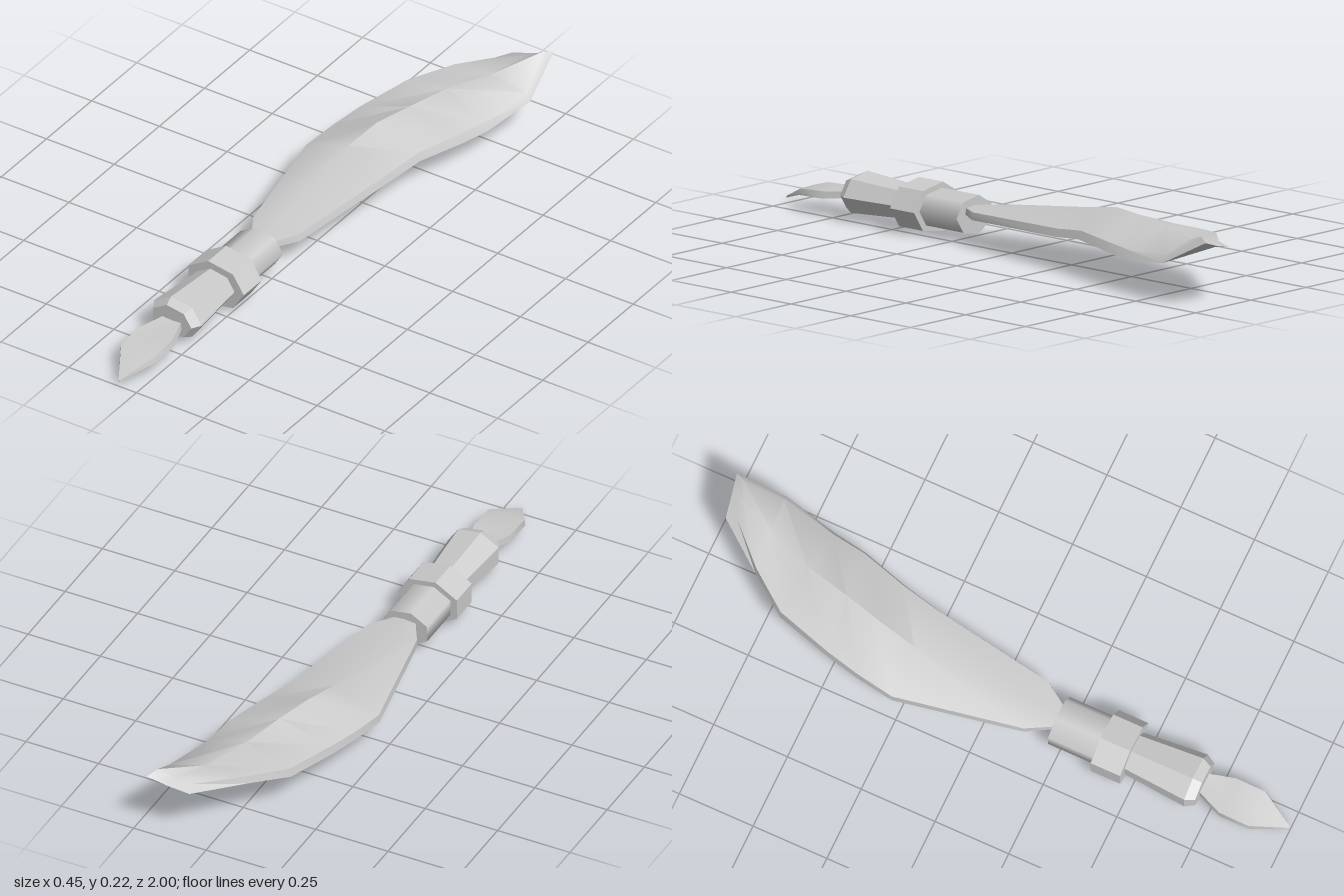
import * as THREE from 'three';
import { toCreasedNormals } from 'three/addons/utils/BufferGeometryUtils.js';

const CX = -0.065, CY = 0.08, FLATTEN = 0.74;

function material(flatShading) {
  return new THREE.MeshStandardMaterial({ color: 0xcccccc, flatShading });
}

// Seven-sided, slightly flattened section of the handle, from zBack to zFront
function handlePart(name, zBack, zFront, rBack, rFront, flat = true) {
  const geo = new THREE.CylinderGeometry(rFront, rBack, zFront - zBack, 7, 1, false, Math.PI / 2);
  geo.rotateX(Math.PI / 2);
  geo.scale(1, FLATTEN, 1);
  geo.translate(CX, CY, (zBack + zFront) / 2);
  const mesh = new THREE.Mesh(geo, material(flat));
  mesh.name = name;
  return mesh;
}

// Thin curved slab lofted toward -z through six-point sections
// station: [zL, zR, xL, xR, yLeft, yMid, yRight, thickness, edgeInset, topSetback]
function loftBlade(name, stations) {
  const rings = stations.map(([zL, zR, xL, xR, yL, yM, yR, t, inset, back]) => {
    const xM = (xL + xR) / 2, zM = (zL + zR) / 2;
    return [
      [xL + inset * 0.4, yL, zL + back], [xM, yM, zM + back], [xR - inset, yR, zR + back],
      [xR, yR - t, zR], [xM, yM - t * 1.1, zM], [xL, yL - t, zL],
    ];
  });
  const pos = [];
  const tri = (a, b, c) => pos.push(...a, ...b, ...c);
  for (let i = 0; i < rings.length - 1; i++) {
    const a = rings[i], b = rings[i + 1];
    for (let j = 0; j < 6; j++) {
      const k = (j + 1) % 6;
      tri(a[j], a[k], b[k]);
      tri(a[j], b[k], b[j]);
    }
  }
  // End caps, split into left and right halves
  const f = rings[0], e = rings[rings.length - 1];
  for (const [p, q, r, s] of [[0, 1, 4, 5], [1, 2, 3, 4]]) {
    tri(f[p], f[r], f[q]);
    tri(f[p], f[s], f[r]);
    tri(e[p], e[q], e[r]);
    tri(e[p], e[r], e[s]);
  }
  const geo = new THREE.BufferGeometry();
  geo.setAttribute('position', new THREE.Float32BufferAttribute(pos, 3));
  const mesh = new THREE.Mesh(toCreasedNormals(geo, 0.65), material(false));
  mesh.name = name;
  return mesh;
}

export function createModel() {
  const model = new THREE.Group();
  model.name = 'carvingKnife';

  // Broad, cupped blade sweeping to an upturned tip
  model.add(loftBlade('blade', [
    [0.225, 0.225, -0.095, -0.03, 0.107, 0.11, 0.107, 0.02, 0.002, 0],
    [0.135, 0.14, -0.148, 0.03, 0.112, 0.118, 0.113, 0.023, 0.006, 0],
    [-0.275, -0.27, -0.227, 0.095, 0.118, 0.176, 0.133, 0.025, 0.008, 0],
    [-0.4, -0.39, -0.21, 0.12, 0.13, 0.199, 0.148, 0.026, 0.01, 0],
    [-0.51, -0.545, -0.188, 0.168, 0.142, 0.199, 0.144, 0.028, 0.012, 0],
    [-0.695, -0.66, -0.137, 0.19, 0.157, 0.194, 0.135, 0.028, 0.015, 0],
    [-0.82, -0.84, -0.048, 0.227, 0.178, 0.184, 0.155, 0.024, 0.02, 0],
    [-0.975, -1.0, 0.07, 0.205, 0.188, 0.205, 0.226, 0.012, 0.02, 0.035],
  ]));

  // Handle: smooth ferrule, faceted collar, flared grip and bevelled end
  model.add(handlePart('ferrule', 0.215, 0.375, 0.083, 0.083, false));
  model.add(handlePart('collar', 0.37, 0.47, 0.108, 0.108));
  model.add(handlePart('grip', 0.465, 0.68, 0.073, 0.092));
  model.add(handlePart('gripEnd', 0.68, 0.71, 0.092, 0.074));

  // Small downturned point at the end of the handle
  model.add(loftBlade('tailPoint', [
    [1.0, 1.0, -0.066, -0.062, 0.024, 0.024, 0.024, 0.005, 0, 0],
    [0.89, 0.89, -0.132, 0.0, 0.073, 0.075, 0.073, 0.02, 0.006, 0],
    [0.79, 0.79, -0.132, 0.0, 0.078, 0.076, 0.078, 0.022, 0.006, 0],
    [0.7, 0.7, -0.095, -0.03, 0.087, 0.085, 0.087, 0.022, 0.003, 0],
  ]));

  return model;
}
